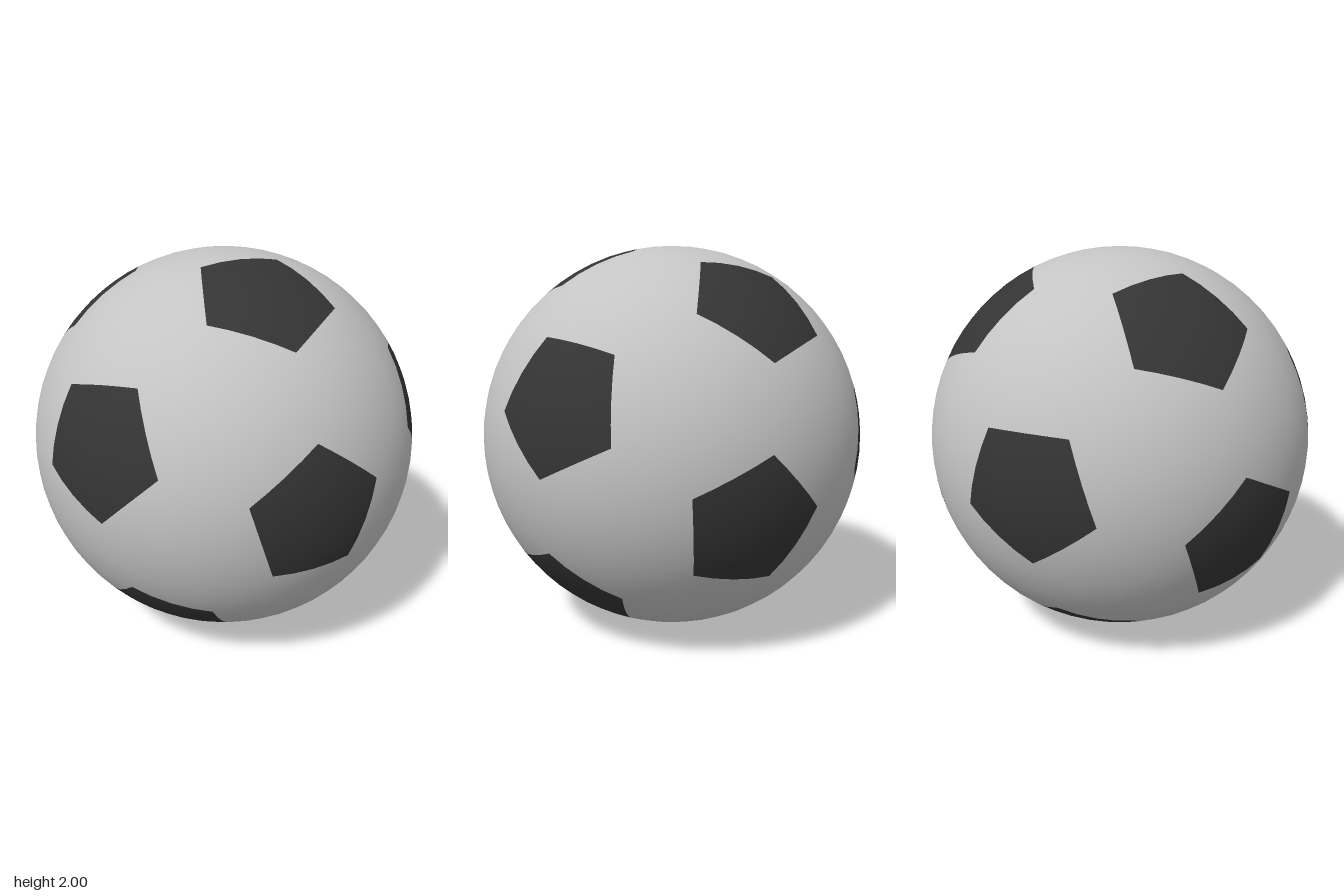
import * as THREE from 'three';

const DETAIL = 4; // subdivisions along each panel edge

// Spherical panel: a fan of subdivided triangles pushed out to the unit sphere
function panelGeometry(corners) {
  const center = new THREE.Vector3();
  corners.forEach((c) => center.add(c));
  center.normalize();
  const positions = [];
  corners.forEach((a, n) => {
    const b = corners[(n + 1) % corners.length];
    const point = (i, j) =>
      new THREE.Vector3()
        .addScaledVector(center, (DETAIL - i - j) / DETAIL)
        .addScaledVector(a, i / DETAIL)
        .addScaledVector(b, j / DETAIL)
        .normalize();
    const triangle = (...pts) => pts.forEach((p) => positions.push(p.x, p.y, p.z));
    for (let i = 0; i < DETAIL; i++) {
      for (let j = 0; j < DETAIL - i; j++) {
        triangle(point(i, j), point(i + 1, j), point(i, j + 1));
        if (i + j < DETAIL - 1) triangle(point(i + 1, j), point(i + 1, j + 1), point(i, j + 1));
      }
    }
  });
  const geometry = new THREE.BufferGeometry();
  geometry.setAttribute('position', new THREE.Float32BufferAttribute(positions, 3));
  // On a unit sphere the smooth normals equal the positions
  geometry.setAttribute('normal', new THREE.Float32BufferAttribute(positions, 3));
  return geometry;
}

export function createModel() {
  const ball = new THREE.Group();
  ball.name = 'ball';
  const lightGrey = new THREE.MeshStandardMaterial({ color: 0xc4c4c4 });
  lightGrey.name = 'light grey';
  const black = new THREE.MeshStandardMaterial({ color: 0x343434 });
  black.name = 'black';

  // Icosahedron corners: one at the front, a ring of five, and their opposites
  const hubs = [new THREE.Vector3(0, 0, 1)];
  for (let k = 0; k < 5; k++) {
    const t = Math.PI / 2 + (k * 2 * Math.PI) / 5;
    hubs.push(new THREE.Vector3(2 * Math.cos(t), 2 * Math.sin(t), 1).divideScalar(Math.sqrt(5)));
  }
  hubs.slice().forEach((h) => hubs.push(h.clone().negate()));
  const adjacent = (a, b) => a !== b && a.dot(b) > 0.3;
  // Panel corner one third of the way from a to b
  const corner = (a, b) => a.clone().multiplyScalar(2).add(b).normalize();

  const addPanel = (name, corners, material) => {
    const mesh = new THREE.Mesh(panelGeometry(corners), material);
    mesh.name = name;
    mesh.position.y = 1;
    ball.add(mesh);
  };

  // Dark pentagons, corners sorted counter-clockwise around each hub
  hubs.forEach((hub, n) => {
    const near = hubs.filter((h) => adjacent(hub, h));
    const u = near[0].clone().projectOnPlane(hub).normalize();
    const v = hub.clone().cross(u);
    const angle = (p) => Math.atan2(p.dot(v), p.dot(u));
    near.sort((a, b) => angle(a) - angle(b));
    addPanel(`pentagonPanel${n + 1}`, near.map((h) => corner(hub, h)), black);
  });

  // Light hexagons between every three neighbouring hubs
  let count = 0;
  for (let i = 0; i < 12; i++) {
    for (let j = i + 1; j < 12; j++) {
      for (let k = j + 1; k < 12; k++) {
        let [a, b, c] = [hubs[i], hubs[j], hubs[k]];
        if (!adjacent(a, b) || !adjacent(b, c) || !adjacent(a, c)) continue;
        if (a.clone().cross(b).dot(c) < 0) [b, c] = [c, b];
        const corners = [[a, b], [b, a], [b, c], [c, b], [c, a], [a, c]].map(([p, q]) => corner(p, q));
        addPanel(`hexagonPanel${++count}`, corners, lightGrey);
      }
    }
  }
  return ball;
}
